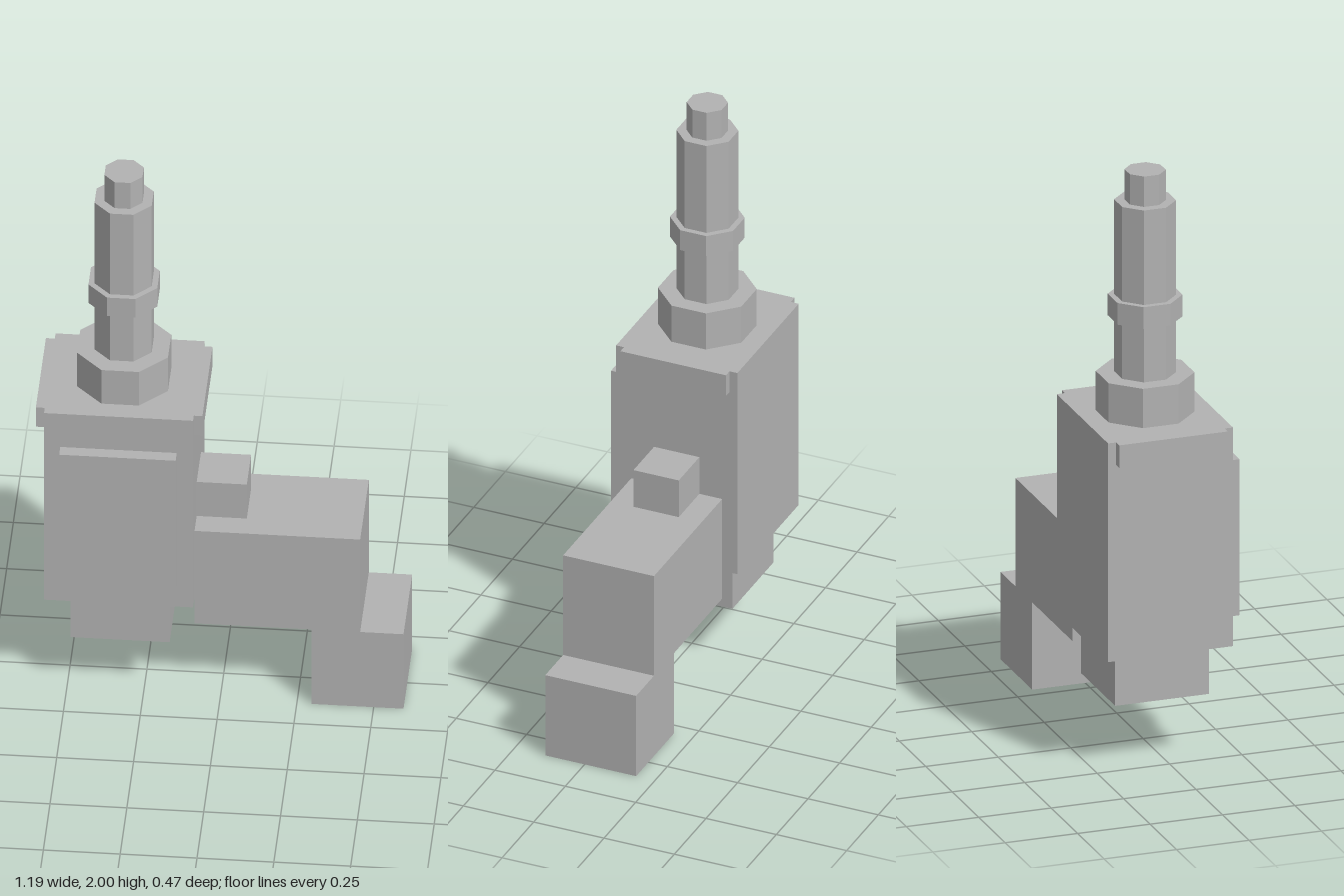
import * as THREE from 'three';

export function createModel() {
  const model = new THREE.Group();
  model.name = 'limitSwitch';
  const grey = new THREE.MeshStandardMaterial({ color: 0xb2b2b2 });
  grey.name = 'grey';

  const add = (name, geometry, x, y, z) => {
    const mesh = new THREE.Mesh(geometry, grey);
    mesh.name = name;
    mesh.position.set(x, y, z);
    model.add(mesh);
  };
  // Box given by its extents along each axis
  const box = (name, [x0, x1], [y0, y1], [z0, z1]) =>
    add(name, new THREE.BoxGeometry(x1 - x0, y1 - y0, z1 - z0),
      (x0 + x1) / 2, (y0 + y1) / 2, (z0 + z1) / 2);

  // Housing with its front cover and the lips under the top edge
  box('housing', [-0.568, -0.083], [0.407, 1.164], [-0.237, 0.194]);
  box('frontCover', [-0.515, -0.136], [0.49, 1.03], [0.194, 0.236]);
  box('rightLip', [-0.597, -0.568], [1.086, 1.164], [-0.209, 0.166]);
  box('leftLip', [-0.083, -0.055], [1.086, 1.164], [-0.209, 0.166]);
  box('lowerBlock', [-0.487, -0.164], [0.22, 0.407], [-0.183, 0.14]);

  // Stepped arm
  box('arm', [-0.083, 0.456], [0.302, 0.677], [-0.183, 0.14]);
  box('armNub', [-0.083, 0.08], [0.677, 0.815], [-0.102, 0.059]);
  box('foot', [0.297, 0.597], [0, 0.302], [-0.183, 0.14]);

  // Eight-sided stem, each piece: name, half width across flats, bottom, top
  const stem = [
    ['stemBase', 0.148, 1.164, 1.3],
    ['lowerShaft', 0.093, 1.3, 1.493],
    ['collar', 0.112, 1.493, 1.568],
    ['upperShaft', 0.093, 1.568, 1.895],
    ['stemTip', 0.062, 1.895, 2],
  ];
  for (const [name, half, y0, y1] of stem) {
    const r = half / Math.cos(Math.PI / 8);
    const cylinder = new THREE.CylinderGeometry(r, r, y1 - y0, 8, 1, false, Math.PI / 8);
    const faceted = cylinder.toNonIndexed();
    faceted.computeVertexNormals();
    add(name, faceted, -0.326, (y0 + y1) / 2, -0.021);
  }
  return model;
}
